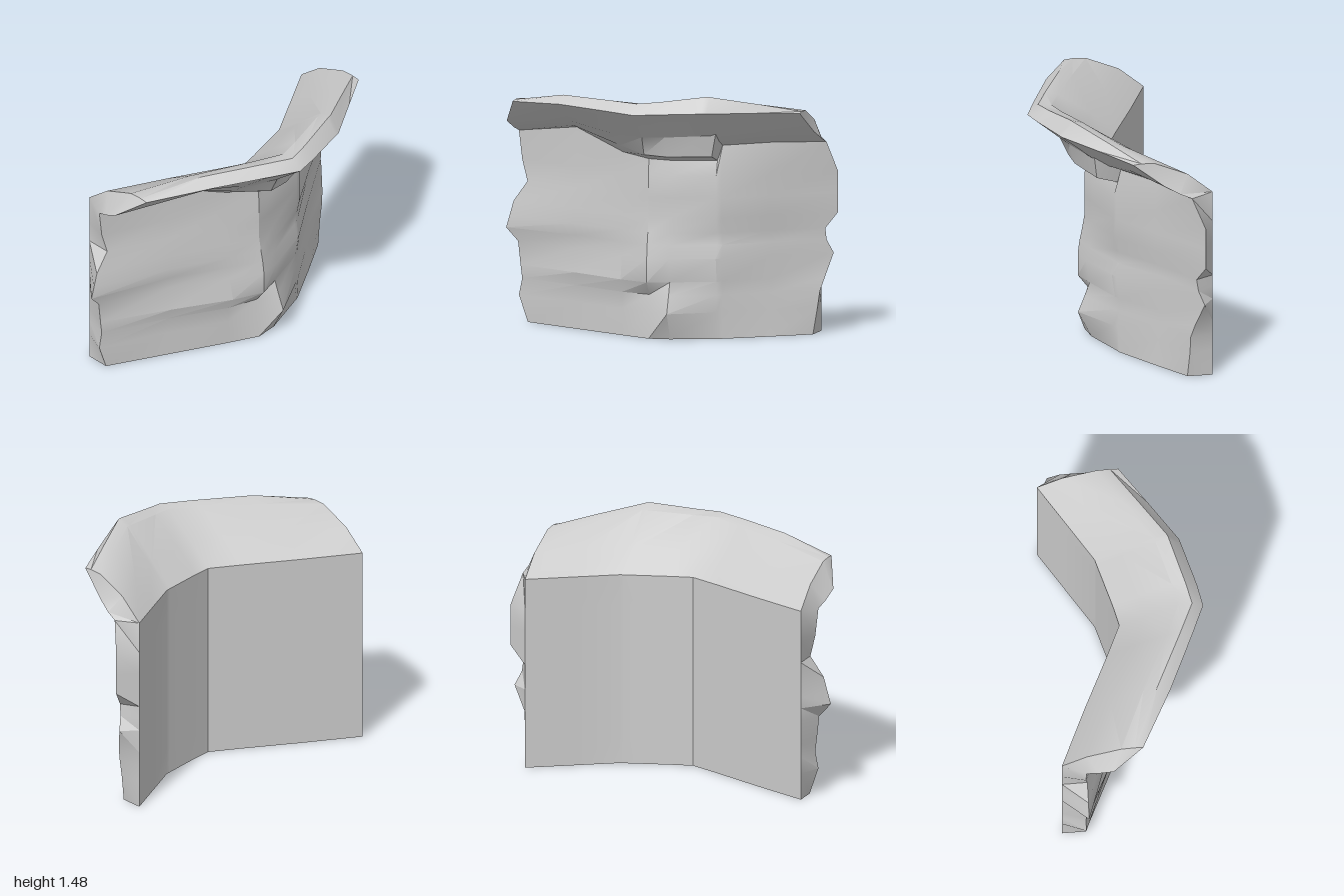
import * as THREE from 'three';
import { toCreasedNormals } from 'three/addons/utils/BufferGeometryUtils.js';

// Stations along the wall, from the front end to the rear end
const Z = [0.87, 0.53, 0.2, 0.02, -0.11, -0.37, -0.4, -0.65, -0.88];
const BACK_X = [-0.45, -0.29, -0.125, -0.04, -0.07, -0.142, -0.15, -0.306, -0.45];

// Rocky face: height, outward offset per station, z of the two end edges
const ROCK = [
  { y: 0, out: [0.14, 0.15, 0.15, 0.15, 0.17, 0.15, 0.15, 0.15, 0.15], ends: [0.87, -0.87] },
  { y: 0.16, out: [0.14, 0.15, 0.16, 0.14, 0.25, 0.17, 0.16, 0.13, 0.14], ends: [0.925, -0.895] },
  { y: 0.26, out: [0.14, 0.15, 0.16, 0.13, 0.21, 0.16, 0.15, 0.12, 0.14], ends: [0.905, -0.91] },
  { y: 0.34, out: [0.14, 0.18, 0.2, 0.19, 0.18, 0.16, 0.15, 0.12, 0.12], ends: [0.915, -0.935] },
  { y: 0.48, out: [0.14, 0.15, 0.17, 0.19, 0.2, 0.18, 0.17, 0.14, 0.07], ends: [0.93, -0.975] },
  { y: 0.56, out: [0.15, 0.16, 0.17, 0.18, 0.18, 0.15, 0.15, 0.12, 0.1], ends: [1, -0.94] },
  { y: 0.63, out: [0.15, 0.17, 0.17, 0.165, 0.17, 0.15, 0.15, 0.13, 0.11], ends: [0.98, -0.935] },
  { y: 0.72, out: [0.15, 0.16, 0.16, 0.15, 0.16, 0.17, 0.17, 0.15, 0.07], ends: [0.955, -1] },
  { y: 0.84, out: [0.15, 0.15, 0.15, 0.15, 0.16, 0.17, 0.17, 0.15, 0.07], ends: [0.87, -1] },
  { y: 0.97, out: [0.14, 0.14, 0.14, 0.15, 0.16, 0.17, 0.17, 0.15, 0.07], ends: [0.905, -1] },
];

// Overhanging top, one value per station; a block hangs below it mid-wall
const WALL_TOP = [1.14, 1.2, 1.09, 1.07, 1.06, 1.06, 1.15, 1.155, 1.15];
const LEDGE_OUT = [0.21, 0.21, 0.21, 0.25, 0.27, 0.27, 0.21, 0.21, 0.21];
const LEDGE_Y = [1.17, 1.22, 1.14, 1.11, 1.1, 1.1, 1.18, 1.19, 1.18];
const UNDER_Y = [1.22, 1.26, 1.22, 1.22, 1.22, 1.23, 1.24, 1.24, 1.23];
const LIP_OUT = [0.48, 0.51, 0.5, 0.495, 0.5, 0.5, 0.5, 0.49, 0.48];
const LIP_Y = [1.365, 1.39, 1.385, 1.38, 1.385, 1.39, 1.39, 1.38, 1.365];
const CREST_Y = [1.365, 1.405, 1.42, 1.43, 1.435, 1.455, 1.455, 1.405, 1.365];
const BROW_Y = [1.37, 1.435, 1.44, 1.44, 1.45, 1.48, 1.48, 1.425, 1.37];

// Closed cross-section: up the rock, round the lip, down the flat back
function section(s) {
  const last = Z.length - 1;
  const point = (out, y, ends) => {
    let z = Z[s];
    if (ends && s === 0) z = ends[0];
    if (ends && s === last) z = ends[1];
    return [BACK_X[s] + out, y, z];
  };
  return [
    ...ROCK.map((r) => point(r.out[s], r.y, r.ends)),
    point(0.14, WALL_TOP[s], [0.925, -0.95]),
    point(LEDGE_OUT[s], LEDGE_Y[s], [0.94, -0.94]),
    point(0.3, UNDER_Y[s], [0.955, -0.92]),
    point(LIP_OUT[s], LIP_Y[s]),
    point(0.43, BROW_Y[s]),
    point(0.35, CREST_Y[s]),
    point(0.15, 1.28),
    point(0, 1.155),
    ...ROCK.map((r) => point(0, r.y)).reverse(),
  ];
}

function cliffGeometry() {
  const rings = Z.map((_, s) => section(s));
  const n = rings[0].length;
  const positions = [];
  const quad = (a, b, c, d) => positions.push(...a, ...b, ...c, ...a, ...c, ...d);

  // Skin between neighbouring sections, including the underside
  for (let s = 0; s < rings.length - 1; s++) {
    const p = rings[s], q = rings[s + 1];
    for (let i = 0; i < n; i++) {
      const j = (i + 1) % n;
      quad(p[i], q[i], q[j], p[j]);
    }
  }

  // End caps join rock edge to back edge, level by level
  const first = rings[0], last = rings[rings.length - 1];
  for (let i = 0; i < n / 2 - 1; i++) {
    quad(first[i], first[i + 1], first[n - 2 - i], first[n - 1 - i]);
    quad(last[n - 1 - i], last[n - 2 - i], last[i + 1], last[i]);
  }

  const geometry = new THREE.BufferGeometry();
  geometry.setAttribute('position', new THREE.Float32BufferAttribute(positions, 3));
  return toCreasedNormals(geometry, 0.5);
}

export function createModel() {
  const group = new THREE.Group();
  group.name = 'cliffSection';
  const cliff = new THREE.Mesh(
    cliffGeometry(),
    new THREE.MeshStandardMaterial({ color: 0xcccccc })
  );
  cliff.name = 'overhangingCliff';
  group.add(cliff);
  return group;
}
